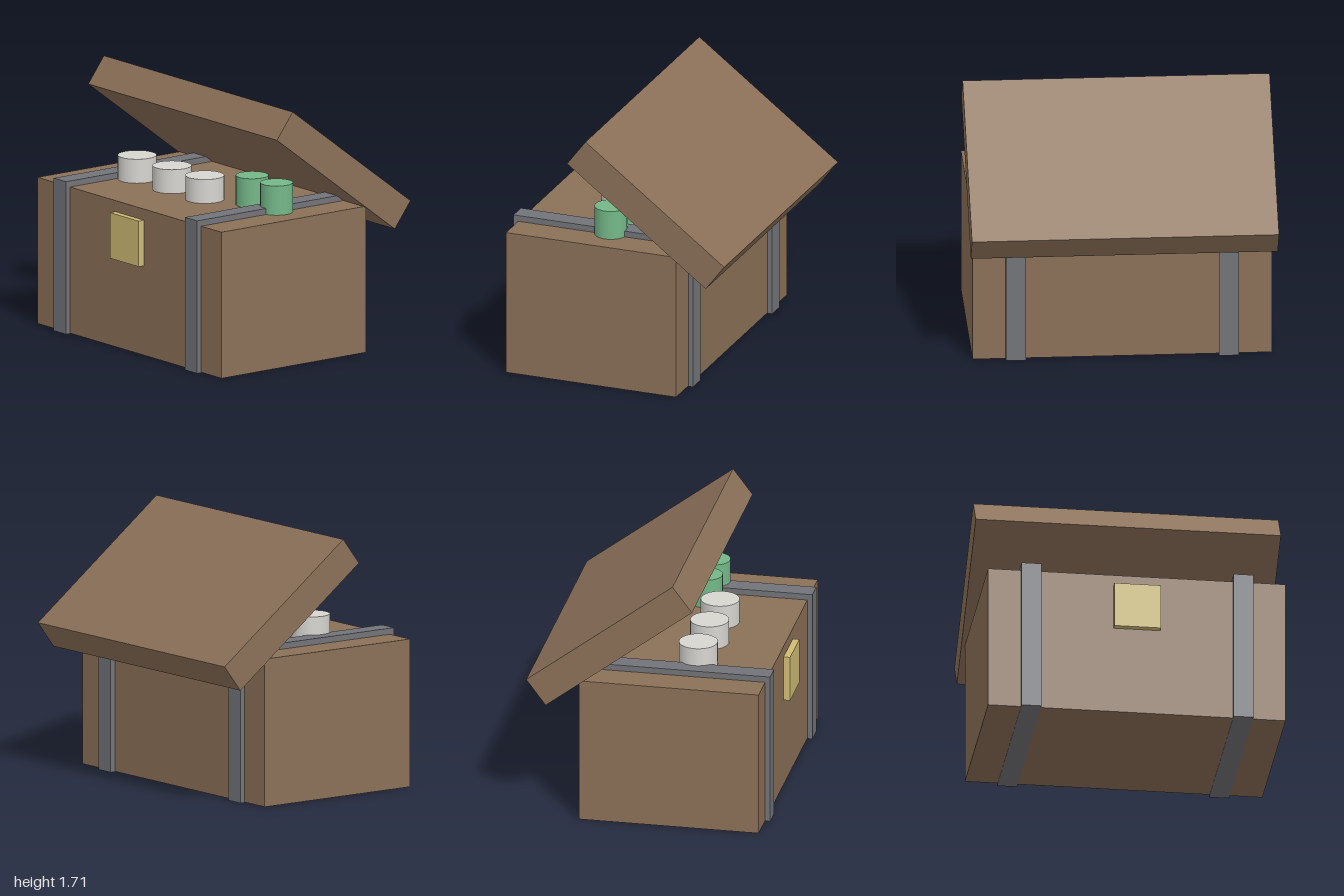
import * as THREE from 'three';

const material = (color) => new THREE.MeshStandardMaterial({ color });

export function createModel() {
  const model = new THREE.Group();
  const wood = material(0x8b7058);
  const iron = material(0x737479);
  const brass = material(0xcfbc74);
  const white = material(0xd6d5d0);
  const green = material(0x74b888);

  function add(name, geometry, mat, x, y, z) {
    const mesh = new THREE.Mesh(geometry, mat);
    mesh.name = name;
    mesh.position.set(x, y, z);
    model.add(mesh);
    return mesh;
  }

  // Chest body, raised a hair so the strap undersides stay visible
  add('body', new THREE.BoxGeometry(1.95, 0.977, 1.19), wood, 0, 0.4915, 0.152);

  // Open lid, tilted back
  const lid = add('lid', new THREE.BoxGeometry(2, 0.214, 1.217), wood, 0, 1.253, -0.24);
  lid.rotation.x = -0.648;

  // Straps wrapping the body
  for (const side of [-1, 1]) {
    add(side > 0 ? 'leftStrap' : 'rightStrap',
      new THREE.BoxGeometry(0.13, 1.02, 1.257), iron, side * 0.695, 0.51, 0.152);
  }

  // Lock plate
  add('lockPlate', new THREE.BoxGeometry(0.305, 0.305, 0.08), brass, 0, 0.753, 0.75);

  // Jars standing out of the top
  const jar = (r, h) => new THREE.CylinderGeometry(r, r, h, 28);
  for (const x of [-0.545, -0.175, 0.173]) {
    add('whiteJar', jar(0.127, 0.26), white, x, 1.01, 0.261);
  }
  for (const x of [0.477, 0.736]) {
    add('greenJar', jar(0.107, 0.3), green, x, 1.025, 0.108);
  }
  return model;
}
